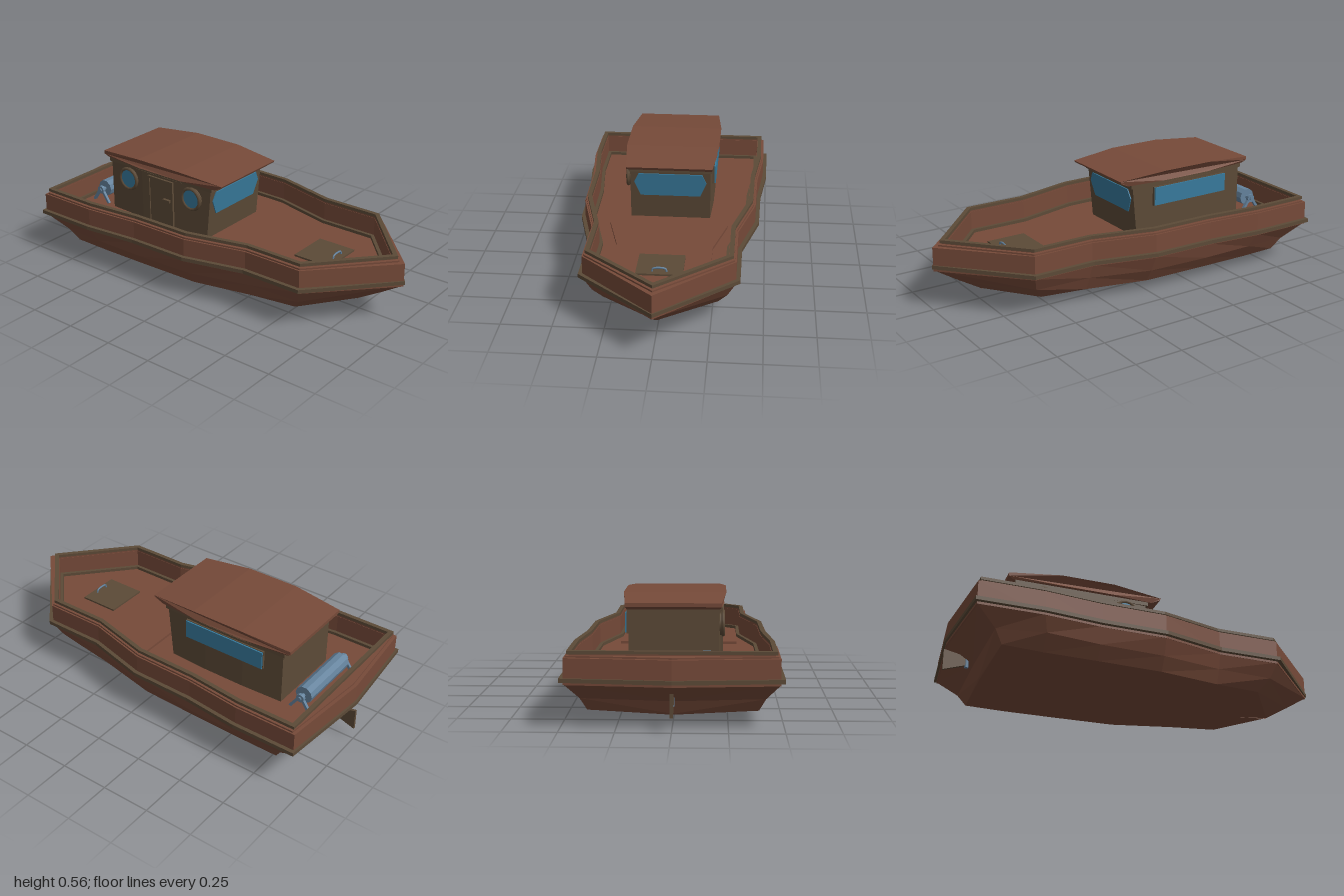
import * as THREE from 'three';

const mat = (name, color) => {
  const m = new THREE.MeshStandardMaterial({ color });
  m.name = name;
  return m;
};

export function createModel() {
  const boat = new THREE.Group();
  boat.name = 'boat';
  const wood = mat('red brown wood', 0x764a39);
  const trim = mat('dark olive trim', 0x5c4a37);
  const glass = mat('blue glass', 0x387a9c);
  const steel = mat('blue steel', 0x64829c);

  const add = (name, geo, material, x = 0, y = 0, z = 0, parent = boat) => {
    const mesh = new THREE.Mesh(geo, material);
    mesh.name = name;
    mesh.position.set(x, y, z);
    parent.add(mesh);
    return mesh;
  };
  const box = (name, m, w, h, d, x, y, z, parent) =>
    add(name, new THREE.BoxGeometry(w, h, d), m, x, y, z, parent);

  // Plan outline, mirrored about x = 0, as a loop from stern to bow and back
  const half = [[0.5, -0.955], [0.5, -0.62], [0.47, -0.33], [0.465, 0], [0.385, 0.32], [0.385, 0.645]];
  const mirrorLoop = (pts, stern, bow) => [[0, stern], ...pts, [0, bow],
    ...pts.slice().reverse().map(([x, z]) => [-x, z])];
  const outline = mirrorLoop(half, -1, 0.995);

  // Move every edge of the loop inward by d
  const inset = (d) => outline.map((p, i) => {
    const n = outline.length;
    const a = outline[(i + n - 1) % n], b = outline[(i + 1) % n];
    const unit = (u, v) => new THREE.Vector2(v[0] - u[0], v[1] - u[1]).normalize();
    const e = unit(a, p), f = unit(p, b);
    const n1 = new THREE.Vector2(-e.y, e.x), n2 = new THREE.Vector2(-f.y, f.x);
    const k = d / (1 + n1.dot(n2));
    return [p[0] + (n1.x + n2.x) * k, p[1] + (n1.y + n2.y) * k];
  });
  // Same, with a straight stern at the given z
  const square = (d, stern) => inset(d).map(([x, z], i, l) =>
    [x, i < 2 || i === l.length - 1 ? stern : z]);
  // Hull skin, kept close to the rub rail at stern and bow
  const skin = inset(0.02);
  skin[0][1] = -0.99;
  skin[1][1] = skin[13][1] = -0.945;
  skin[7][1] = 0.988;

  const vecs = (loop) => loop.map(([x, z]) => new THREE.Vector2(x, -z));
  const slab = (name, m, loop, y0, y1, hole) => {
    const s = new THREE.Shape(vecs(loop));
    if (hole) s.holes.push(new THREE.Path(vecs(hole).reverse()));
    const g = new THREE.ExtrudeGeometry(s, { depth: y1 - y0, bevelEnabled: false });
    g.rotateX(-Math.PI / 2);
    return add(name, g, m, 0, y0, 0);
  };

  // Bulwark, rails and deck
  slab('bulwark', wood, skin, 0.2, 0.321, square(0.058, -0.908));
  slab('bulwarkLip', wood, inset(0.028), 0.321, 0.329, square(0.058, -0.908));
  slab('rubRail', trim, outline, 0.212, 0.231, inset(0.03));
  slab('railBase', wood, square(0.044, -0.922), 0.329, 0.336, square(0.056, -0.91));
  slab('capRail', trim, square(0.034, -0.932), 0.336, 0.351, square(0.056, -0.91));
  slab('toeRail', trim, square(0.057, -0.909), 0.21, 0.236, square(0.075, -0.893));
  slab('deck', wood, square(0.05, -0.915), 0.203, 0.22);
  slab('foredeckPanel', wood,
    mirrorLoop([[0.305, 0.065], [0.24, 0.32], [0.24, 0.585]], 0.065, 0.765), 0.22, 0.233);

  // Lower hull: stations of top, bilge, chine and keel points, stern to bow
  const stations = [
    [[0, 0.11, -0.85], [0, 0.045, -0.82], [0, 0.04, -0.815]],
    [[0.42, 0.12, -0.84], [0.39, 0.058, -0.8], [0, 0.04, -0.815]],
    [[0.44, 0.13, -0.6], [0.385, 0.053, -0.6], [0, 0.018, -0.6]],
    [[0.425, 0.12, -0.33], [0.38, 0.053, -0.33], [0, 0.011, -0.33]],
    [[0.41, 0.12, 0], [0.37, 0.053, 0], [0, 0, 0]],
    [[0.34, 0.13, 0.32], [0.31, 0.06, 0.32], [0, 0.017, 0.32]],
    [[0.325, 0.13, 0.61], [0.28, 0.066, 0.56], [0, 0.036, 0.56]],
    [[0, 0.13, 0.87], [0, 0.055, 0.745], [0, 0.05, 0.74]],
  ].map((s, i) => [[skin[i][0], 0.205, skin[i][1]], ...s]);
  const tri = [];
  const face = (a, b, c, flip) => [a, ...(flip ? [c, b] : [b, c])].forEach(([x, y, z]) =>
    tri.push(flip ? -x : x, y, z));
  for (const flip of [false, true]) {
    for (let i = 0; i < stations.length - 1; i++) {
      for (let j = 0; j < 3; j++) {
        const a = stations[i][j], b = stations[i + 1][j];
        const c = stations[i + 1][j + 1], d = stations[i][j + 1];
        face(a, b, d, flip);
        face(b, c, d, flip);
      }
    }
  }
  const hull = new THREE.BufferGeometry();
  hull.setAttribute('position', new THREE.Float32BufferAttribute(tri, 3));
  hull.computeVertexNormals();
  add('lowerHull', hull, wood);

  // Rudder with its post
  const blade = new THREE.Shape(vecs([[-0.885, -0.105], [-1, -0.066], [-1, -0.175], [-0.885, -0.15]]));
  const bladeGeo = new THREE.ExtrudeGeometry(blade, { depth: 0.014, bevelEnabled: false });
  bladeGeo.rotateY(-Math.PI / 2);
  add('rudder', bladeGeo, trim, 0.007, 0, 0);
  add('rudderPost', new THREE.CylinderGeometry(0.01, 0.01, 0.07, 8), steel, 0, 0.128, -0.883);

  // Cabin with slightly bowed sides and a front wall that leans forward
  const cabin = new THREE.BoxGeometry(0.416, 0.275, 0.665, 1, 1, 3).toNonIndexed();
  const cp = cabin.attributes.position;
  for (let i = 0; i < cp.count; i++) {
    if (Math.abs(cp.getZ(i)) < 0.2) cp.setX(i, cp.getX(i) * 1.045);
    if (cp.getZ(i) > 0.3) cp.setZ(i, cp.getZ(i) + cp.getY(i) * 0.1);
  }
  cabin.computeVertexNormals();
  add('cabin', cabin, trim, 0, 0.3525, -0.3675);
  box('cabinTopTrim', trim, 0.43, 0.02, 0.7, 0, 0.498, -0.36);

  // Roof: side profile extruded across, then shaped in width
  const roofSide = [[0.06, 0.54], [-0.2, 0.561], [-0.48, 0.561], [-0.745, 0.54], [-0.745, 0.522],
    [-0.72, 0.508], [-0.48, 0.508], [-0.2, 0.508], [0.01, 0.508], [0.055, 0.53]];
  const roof = new THREE.ExtrudeGeometry(
    new THREE.Shape(roofSide.map(([z, y]) => new THREE.Vector2(z, y))), { depth: 2, bevelEnabled: false });
  roof.rotateY(-Math.PI / 2).translate(1, 0, 0);
  const rp = roof.attributes.position;
  for (let i = 0; i < rp.count; i++) {
    const z = rp.getZ(i);
    const w = Math.min(0.245, 0.22 + 0.09 * Math.min(0.06 - z, z + 0.745));
    rp.setX(i, Math.sign(rp.getX(i)) * w * (rp.getY(i) < 0.515 ? 0.96 : 1));
  }
  roof.computeVertexNormals();
  add('roof', roof, wood);

  // Windscreen
  const screen = new THREE.Shape([[-0.155, -0.07], [0.155, -0.07], [0.188, 0.007], [0.165, 0.055],
    [-0.165, 0.055], [-0.188, 0.007]].map(([x, y]) => new THREE.Vector2(x, y)));
  const windscreen = add('windscreen',
    new THREE.ExtrudeGeometry(screen, { depth: 0.006, bevelEnabled: false }), glass, 0, 0.42, -0.029);
  windscreen.rotation.x = 0.1;

  // Long window on the left side
  box('sideWindowFrame', trim, 0.012, 0.1, 0.456, 0.217, 0.428, -0.37);
  box('sideWindow', glass, 0.009, 0.094, 0.45, 0.2265, 0.428, -0.37);

  // Portholes on the right side
  for (const z of [-0.135, -0.565]) {
    const porthole = new THREE.Group();
    porthole.name = 'porthole';
    porthole.position.set(-0.21, 0.425, z);
    porthole.rotation.y = -Math.PI / 2;
    boat.add(porthole);
    add('portholeFrame', new THREE.TorusGeometry(0.056, 0.009, 6, 16), trim, 0, 0, 0.018, porthole);
    add('portholeRim', new THREE.CylinderGeometry(0.058, 0.058, 0.018, 16), trim, 0, 0, 0.009, porthole)
      .rotation.x = Math.PI / 2;
    add('portholeGlass', new THREE.CircleGeometry(0.052, 16), glass, 0, 0, 0.021, porthole);
  }

  // Door with frame and latch on the right side
  box('door', trim, 0.012, 0.25, 0.15, -0.217, 0.345, -0.345);
  for (const s of [-1, 1]) box('doorJamb', trim, 0.02, 0.26, 0.012, -0.219, 0.35, -0.345 + s * 0.079);
  box('doorLintel', trim, 0.02, 0.012, 0.17, -0.219, 0.474, -0.345);
  box('doorLatch', trim, 0.02, 0.014, 0.045, -0.228, 0.37, -0.3);

  // Foredeck hatch with handle
  box('hatch', trim, 0.226, 0.01, 0.205, 0, 0.237, 0.535);
  const grip = new THREE.CatmullRomCurve3([[-0.035, 0], [-0.03, 0.016], [0.03, 0.016], [0.035, 0]]
    .map(([x, y]) => new THREE.Vector3(x, y, 0)));
  add('hatchHandle', new THREE.TubeGeometry(grip, 12, 0.005, 6), steel, 0, 0.241, 0.61);

  // Stern winch: faceted drum between two A-shaped stands
  const rod = (name, r, length, sides, x) => {
    const g = new THREE.CylinderGeometry(r, r, length, sides).toNonIndexed();
    g.rotateZ(Math.PI / 2);
    g.computeVertexNormals();
    add(name, g, steel, x, 0.288, -0.803);
  };
  rod('winchDrum', 0.045, 0.345, 10, 0);
  rod('winchAxle', 0.01, 0.43, 8, 0);
  for (const x of [-0.2, 0.2]) {
    rod('winchHub', 0.022, 0.016, 10, x);
    for (const s of [-1, 1]) {
      const leg = box('winchLeg', steel, 0.014, 0.09, 0.014, x, 0.258, -0.803 + s * 0.028);
      leg.rotation.x = -s * 0.6;
    }
  }
  return boat;
}
